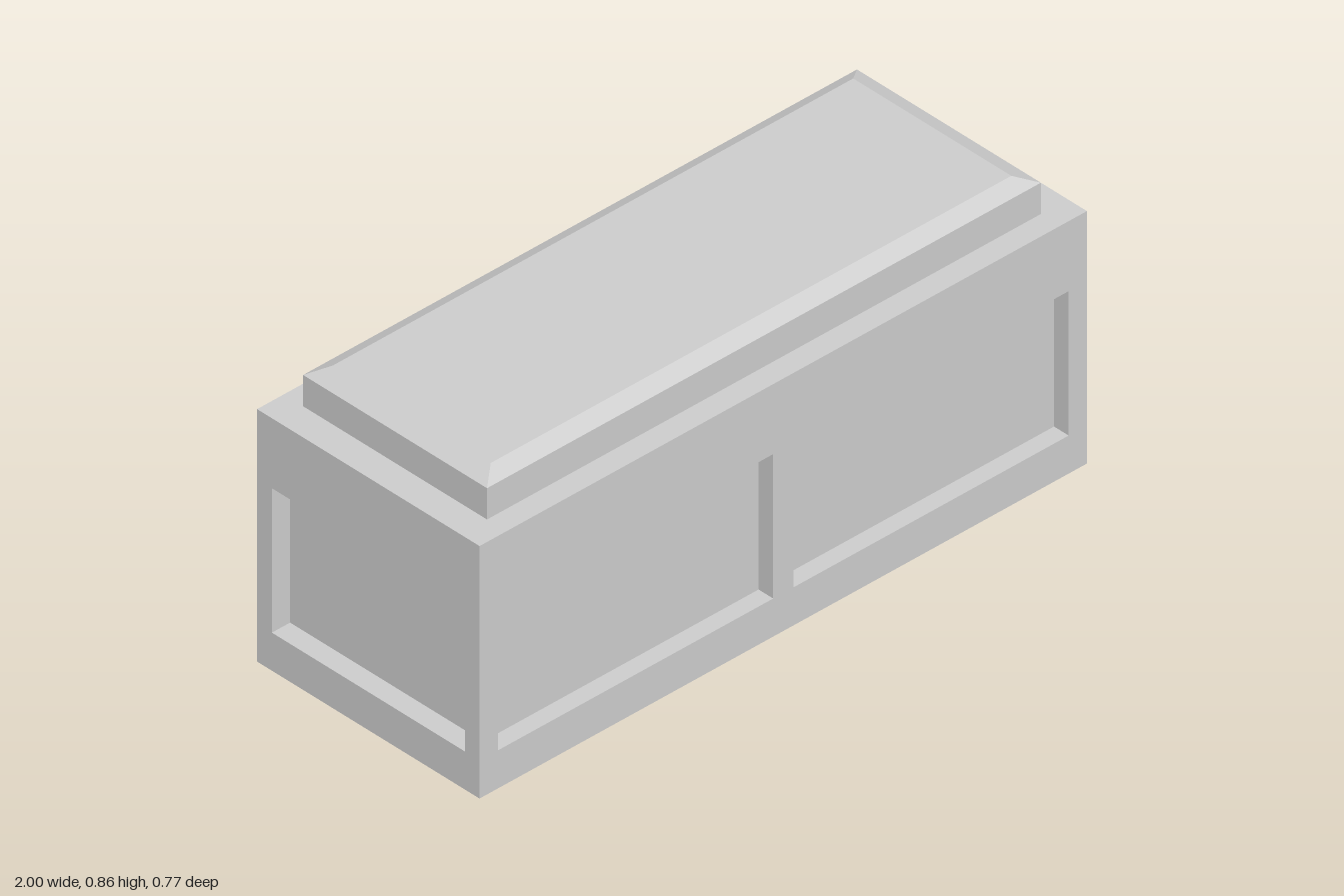
import * as THREE from 'three';

const material = new THREE.MeshStandardMaterial({ color: 0xcccccc, flatShading: true });

const HX = 1, HZ = 0.387, H = 0.743;      // body half length, half depth, height
const CX = 0.94, CZ = 0.336;              // half size of the core behind the recesses
const LOW = 0.112, HIGH = 0.537;          // bottom and top of the recessed panels

function addMesh(parent, name, geometry) {
  const mesh = new THREE.Mesh(geometry, material);
  mesh.name = name;
  parent.add(mesh);
  return mesh;
}

function rectangle(Type, x0, x1, y0, y1) {
  const r = new Type();
  r.moveTo(x0, y0);
  r.lineTo(x1, y0);
  r.lineTo(x1, y1);
  r.lineTo(x0, y1);
  r.closePath();
  return r;
}

// Upright slab with rectangular openings, given as pairs of left and right edges
function frameGeometry(halfWidth, depth, openings) {
  const shape = rectangle(THREE.Shape, -halfWidth, halfWidth, 0, H);
  for (const [a, b] of openings) shape.holes.push(rectangle(THREE.Path, a, b, LOW, HIGH));
  return new THREE.ExtrudeGeometry(shape, { depth, bevelEnabled: false });
}

// Block whose top ring is drawn in to form a sloping bevel
function lidGeometry() {
  const levels = [
    { x: 0.912, z: 0.32, y: H },
    { x: 0.912, z: 0.32, y: 0.835 },
    { x: 0.857, z: 0.275, y: 0.859 },
  ];
  const geometry = new THREE.BoxGeometry(2, 2, 2, 1, 2, 1);
  const p = geometry.attributes.position;
  for (let i = 0; i < p.count; i++) {
    const l = levels[Math.round(p.getY(i)) + 1];
    p.setXYZ(i, p.getX(i) * l.x, l.y, p.getZ(i) * l.z);
  }
  const flat = geometry.toNonIndexed();
  flat.computeVertexNormals();
  return flat;
}

export function createModel() {
  const model = new THREE.Group();
  model.name = 'chest';

  // Core, whose faces form the backs of the recessed panels
  addMesh(model, 'core', new THREE.BoxGeometry(2 * CX, H, 2 * CZ)).position.y = H / 2;

  // Long sides with two panels, short ends with one
  const longFrame = frameGeometry(HX, HZ - CZ, [[-CX, -0.033], [0.033, CX]]);
  const endFrame = frameGeometry(CZ, HX - CX, [[-CZ + 0.0005, CZ - 0.0005]]);
  for (const [side, end, turn] of [['front', 'left', 0], ['back', 'right', Math.PI]]) {
    const s = turn ? -1 : 1;
    const long = addMesh(model, side + 'Frame', longFrame);
    long.rotation.y = turn;
    long.position.z = s * CZ;
    const short = addMesh(model, end + 'Frame', endFrame);
    short.rotation.y = turn + Math.PI / 2;
    short.position.x = s * CX;
  }

  // Bevelled lid
  addMesh(model, 'lid', lidGeometry());
  return model;
}
